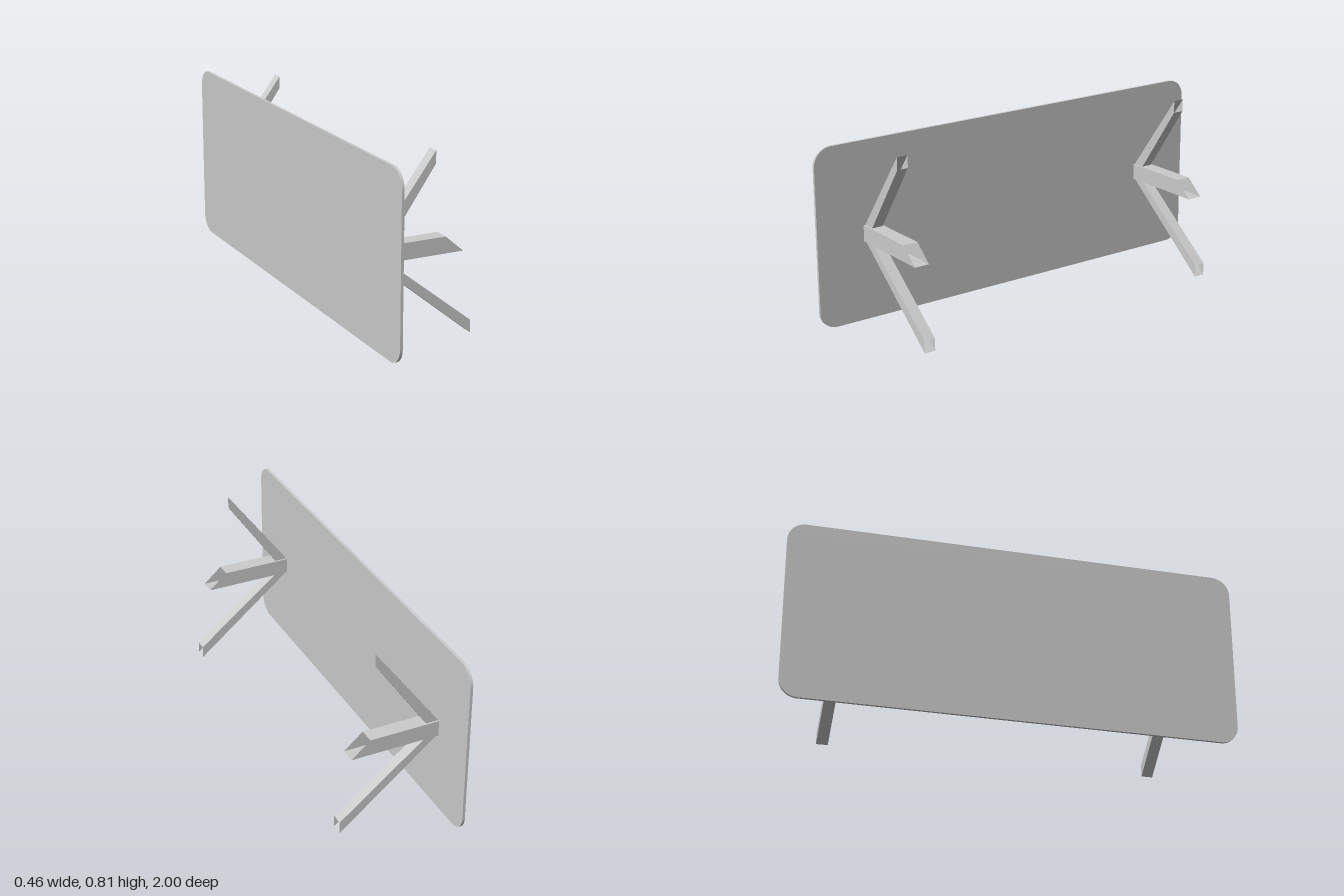
import * as THREE from 'three';
import { toCreasedNormals } from 'three/addons/utils/BufferGeometryUtils.js';

const BOARD_X = -0.216;

// Four-walled tube, open at both ends.
// Corners run counter-clockwise in xy: root low, tip low, tip high, root high.
function openTube([rootLow, tipLow, tipHigh, rootHigh], width) {
  const h = width / 2;
  const back = ([x, y]) => [x, y, -h];
  const front = ([x, y]) => [x, y, h];
  const quads = [
    [front(rootLow), front(tipLow), front(tipHigh), front(rootHigh)],
    [back(rootHigh), back(tipHigh), back(tipLow), back(rootLow)],
    [back(rootLow), back(tipLow), front(tipLow), front(rootLow)],
    [front(rootHigh), front(tipHigh), back(tipHigh), back(rootHigh)],
  ];
  const positions = quads.flatMap(([a, b, c, d]) => [a, b, c, a, c, d].flat());
  const geometry = new THREE.BufferGeometry();
  geometry.setAttribute('position', new THREE.Float32BufferAttribute(positions, 3));
  geometry.computeVertexNormals();
  return geometry;
}

// Thin upright panel with rounded corners
function boardGeometry() {
  const w = 1, y0 = 0.01, y1 = 0.81, r = 0.08, thickness = 0.012;
  const shape = new THREE.Shape();
  shape.moveTo(-w + r, y0);
  shape.lineTo(w - r, y0);
  shape.absarc(w - r, y0 + r, r, -Math.PI / 2, 0);
  shape.absarc(w - r, y1 - r, r, 0, Math.PI / 2);
  shape.absarc(-w + r, y1 - r, r, Math.PI / 2, Math.PI);
  shape.absarc(-w + r, y0 + r, r, Math.PI, Math.PI * 1.5);
  const geometry = new THREE.ExtrudeGeometry(shape, {
    depth: thickness, bevelEnabled: false, curveSegments: 12,
  });
  geometry.rotateY(-Math.PI / 2);
  geometry.translate(BOARD_X, 0, 0);
  return toCreasedNormals(geometry, 0.6);
}

export function createModel() {
  const model = new THREE.Group();
  model.name = 'tippedTable';
  const solid = new THREE.MeshStandardMaterial({ color: 0xcccccc });
  const thin = new THREE.MeshStandardMaterial({ color: 0xcccccc, side: THREE.DoubleSide });

  const add = (parent, name, geometry, material) => {
    const mesh = new THREE.Mesh(geometry, material);
    mesh.name = name;
    parent.add(mesh);
  };

  add(model, 'tableTop', boardGeometry(), solid);

  // Each support: a short mitred post and two splayed legs
  const parts = {
    upperLeg: [0.051, [[-0.16, 0.437], [0.053, 0.745], [0.053, 0.8], [BOARD_X, 0.437]]],
    post: [0.068, [[BOARD_X, 0.365], [0.182, 0.365], [0.099, 0.437], [BOARD_X, 0.437]]],
    lowerLeg: [0.051, [[BOARD_X, 0.365], [0.228, 0], [0.228, 0.055], [-0.16, 0.365]]],
  };
  for (const [name, z] of [['frontSupport', 0.742], ['backSupport', -0.742]]) {
    const support = new THREE.Group();
    support.name = name;
    support.position.z = z;
    for (const [part, [width, corners]] of Object.entries(parts)) {
      add(support, part, openTube(corners, width), thin);
    }
    model.add(support);
  }
  return model;
}
